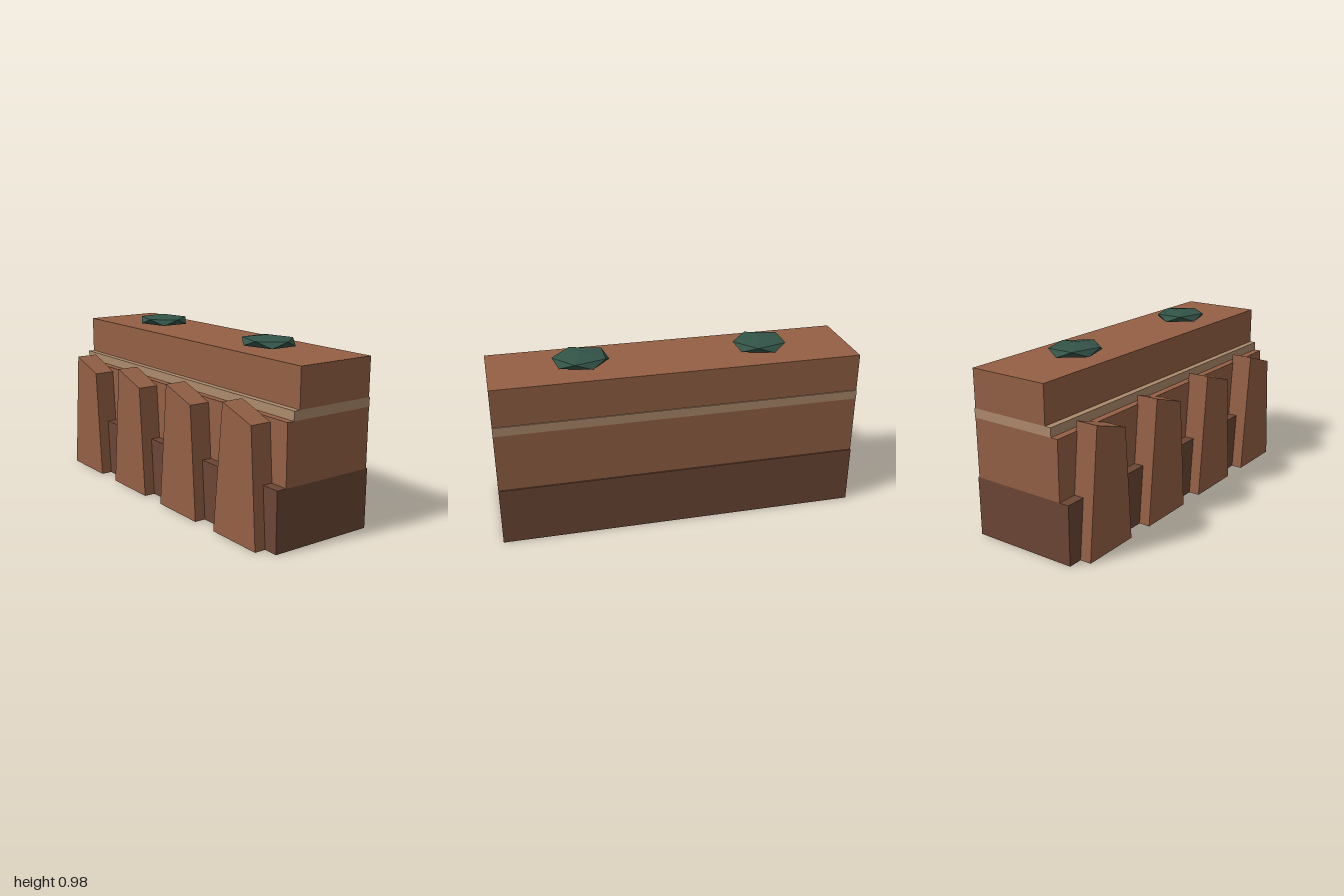
import * as THREE from 'three';
import { ConvexGeometry } from 'three/addons/geometries/ConvexGeometry.js';

const material = (name, color) => {
  const m = new THREE.MeshStandardMaterial({ color });
  m.name = name;
  return m;
};

export function createModel() {
  const group = new THREE.Group();
  const rock = material('rock brown', 0x946045);
  const dark = material('dark rock', 0x6b4635);
  const sand = material('pale stratum', 0xad8b6c);
  const leaf = material('shrub green', 0x335448);

  const add = (name, geometry, mat) => {
    const mesh = new THREE.Mesh(geometry, mat);
    mesh.name = name;
    group.add(mesh);
    return mesh;
  };

  // Full-width cliff layers, each stepping back from the one below
  const layer = (name, y0, y1, zBack, zFront, mat) =>
    add(name, new THREE.BoxGeometry(2, y1 - y0, zFront - zBack), mat)
      .position.set(0, (y0 + y1) / 2, (zBack + zFront) / 2);
  layer('cliffBase', 0, 0.325, -0.333, 0.27, dark);
  layer('cliffWall', 0.325, 0.65, -0.325, 0.215, rock);
  layer('stratumBand', 0.65, 0.7, -0.328, 0.175, sand);
  layer('cliffTop', 0.7, 0.91, -0.322, 0.14, rock);

  // Tapering buttresses with slanted tops
  const outline = new THREE.Shape([[-0.17, 0], [0.17, 0], [0.125, 0.627], [-0.1, 0.7]]
    .map(([x, y]) => new THREE.Vector2(x, y)));
  const buttress = new THREE.ExtrudeGeometry(outline, { depth: 0.124, bevelEnabled: false });
  for (let i = 0; i < 4; i++) {
    add('buttress' + (i + 1), buttress, rock).position.set(-0.75 + i * 0.5, 0, 0.209);
  }

  // Flattened twenty-sided shrubs: two poles and two staggered rings of five
  const points = [new THREE.Vector3(0, 1, 0), new THREE.Vector3(0, -1, 0)];
  for (let i = 0; i < 10; i++) {
    const a = (i * Math.PI) / 5;
    const y = i % 2 ? -0.447 : 0.447;
    points.push(new THREE.Vector3(0.894 * Math.cos(a), y, 0.894 * Math.sin(a)));
  }
  points.forEach((p) => p.multiply(new THREE.Vector3(0.173, 0.037, 0.151)));
  const shrub = new ConvexGeometry(points);
  for (const [name, x] of [['rightShrub', -0.5], ['leftShrub', 0.5]]) {
    add(name, shrub, leaf).position.set(x, 0.938, -0.081);
  }
  return group;
}
